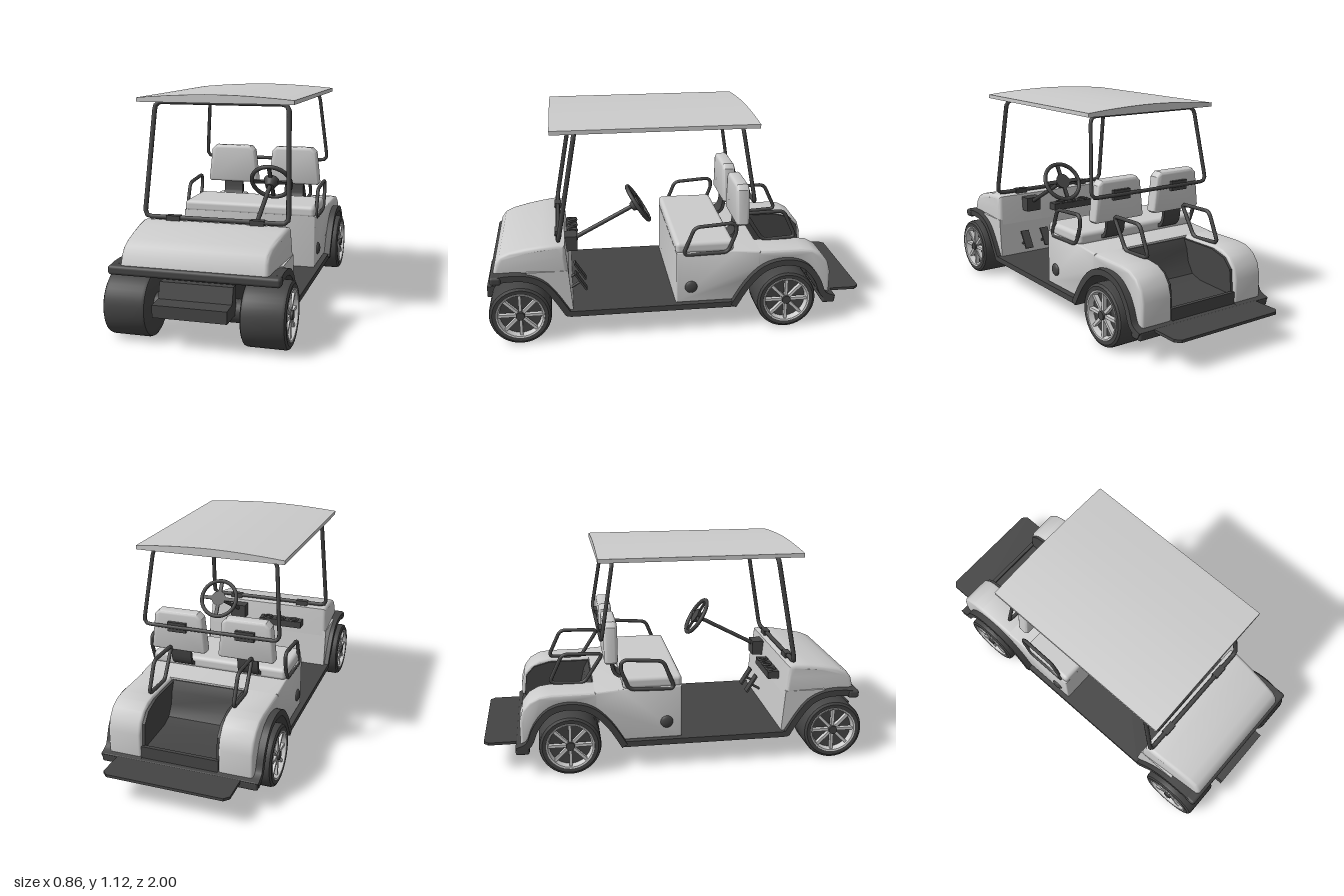
import * as THREE from 'three';
import { toCreasedNormals } from 'three/addons/utils/BufferGeometryUtils.js';
import { RoundedBoxGeometry } from 'three/addons/geometries/RoundedBoxGeometry.js';

const light = new THREE.MeshStandardMaterial({ color: 0xcccccc });
const dark = new THREE.MeshStandardMaterial({ color: 0x444444 });
const V = (x, y, z) => new THREE.Vector3(x, y, z);

function add(parent, name, geo, mat, x = 0, y = 0, z = 0) {
  const m = new THREE.Mesh(geo, mat);
  m.name = name;
  m.position.set(x, y, z);
  parent.add(m);
  return m;
}

const box = (w, h, d) => new THREE.BoxGeometry(w, h, d);
const shapeOf = pts => new THREE.Shape(pts.map(p => new THREE.Vector2(p[0], p[1])));

// Side profile of [z, y] points, extruded across x and centred, with rounded edges
function profile(pts, width, bevel = 0) {
  const depth = width - 2 * bevel;
  const g = new THREE.ExtrudeGeometry(shapeOf(pts), {
    depth, bevelEnabled: bevel > 0, bevelSize: bevel, bevelThickness: bevel,
    bevelOffset: -bevel, bevelSegments: 4,
  });
  g.translate(0, 0, -depth / 2);
  g.rotateY(-Math.PI / 2);
  return toCreasedNormals(g, 0.6);
}

// Smooth curved strip of constant thickness following [z, y] points
function strip(pts, thickness, width) {
  const c = new THREE.SplineCurve(pts.map(p => new THREE.Vector2(p[0], p[1])));
  const outer = [], inner = [];
  for (let i = 0; i <= 28; i++) {
    const p = c.getPoint(i / 28), t = c.getTangent(i / 28);
    const n = [-t.y * thickness / 2, t.x * thickness / 2];
    outer.push([p.x + n[0], p.y + n[1]]);
    inner.unshift([p.x - n[0], p.y - n[1]]);
  }
  return profile([...outer, ...inner], width);
}

// Closed bent tube with rounded corners
function hoop(pts, r, corner = 0.03) {
  const path = new THREE.CurvePath(), n = pts.length;
  const toward = (a, b) => a.clone().add(b.clone().sub(a).setLength(corner));
  for (let i = 0; i < n; i++) {
    const a = pts[i], b = pts[(i + 1) % n], c = pts[(i + 2) % n];
    path.add(new THREE.LineCurve3(toward(a, b), toward(b, a)));
    path.add(new THREE.QuadraticBezierCurve3(toward(b, a), b, toward(b, c)));
  }
  return new THREE.TubeGeometry(path, 100, r, 8, true);
}

function rod(a, b, r, r2 = r) {
  const g = new THREE.CylinderGeometry(r2, r, a.distanceTo(b), 16);
  g.applyQuaternion(new THREE.Quaternion().setFromUnitVectors(V(0, 1, 0), b.clone().sub(a).normalize()));
  const mid = a.clone().add(b).multiplyScalar(0.5);
  return g.translate(mid.x, mid.y, mid.z);
}

// Wheel with its outer face toward +x
function wheel(name) {
  const g = new THREE.Group();
  g.name = name;
  const turn = (pts) => toCreasedNormals(
    new THREE.LatheGeometry(pts.map(p => new THREE.Vector2(p[0], p[1])), 40).rotateZ(-Math.PI / 2), 0.6);
  add(g, 'tyre', turn([[0, -0.105], [0.142, -0.105], [0.154, -0.098], [0.158, -0.085], [0.158, 0.085],
    [0.154, 0.098], [0.142, 0.105], [0.122, 0.103], [0.116, 0.07], [0, 0.06]]), dark);
  add(g, 'rim', turn([[0.108, 0.06], [0.124, 0.1], [0.122, 0.107], [0.114, 0.105], [0.106, 0.075]]),
    new THREE.MeshStandardMaterial({ color: 0xcccccc, side: THREE.DoubleSide }));
  for (let i = 0; i < 8; i++) {
    const s = add(g, 'spoke', box(0.022, 0.1, 0.015).translate(0.085, 0.064, 0), light);
    s.rotation.x = i * Math.PI / 4;
  }
  add(g, 'hub', new THREE.CylinderGeometry(0.022, 0.026, 0.05, 20).rotateZ(-Math.PI / 2), dark, 0.082);
  return g;
}

export function createModel() {
  const cart = new THREE.Group();
  cart.name = 'golfCart';

  // Wheels and axles
  for (const [label, z] of [['front', 0.818], ['rear', -0.563]]) {
    for (const s of [1, -1]) {
      const w = wheel(label + 'Wheel');
      w.position.set(s * 0.325, 0.158, z);
      if (s < 0) w.rotation.y = Math.PI;
      cart.add(w);
    }
    add(cart, label + 'Axle', new THREE.CylinderGeometry(0.055, 0.055, 0.5, 24).rotateZ(Math.PI / 2), dark, 0, 0.155, z);
  }

  // Floor
  add(cart, 'floor', profile([[0.585, 0.125], [0.57, 0.152], [-0.3, 0.152], [-0.29, 0.122], [0.56, 0.122]], 0.8), dark);

  // Front cowl: rounded hood that narrows forward, over a firewall
  const hood = profile([[0.565, 0.34], [0.575, 0.45], [0.58, 0.505], [0.62, 0.512], [0.7, 0.503], [0.78, 0.49],
    [0.86, 0.472], [0.91, 0.45], [0.935, 0.415], [0.95, 0.35]], 0.75, 0.022);
  const p = hood.attributes.position;
  for (let i = 0; i < p.count; i++) {
    const k = 1 - 0.07 * THREE.MathUtils.smoothstep(p.getZ(i), 0.58, 0.95) - 0.15 * Math.max(0, p.getY(i) - 0.36);
    p.setX(i, p.getX(i) * k);
  }
  add(cart, 'hood', toCreasedNormals(hood, 0.6), light);
  add(cart, 'firewall', profile([[0.55, 0.152], [0.568, 0.37], [0.78, 0.37], [0.78, 0.35], [0.71, 0.32],
    [0.64, 0.25], [0.585, 0.152]], 0.75), light);
  add(cart, 'frontFender', strip([[0.955, 0.34], [0.88, 0.352], [0.78, 0.347], [0.7, 0.31], [0.64, 0.24], [0.575, 0.135]], 0.032, 0.8), dark);
  add(cart, 'frontBumper', new RoundedBoxGeometry(0.81, 0.045, 0.06, 3, 0.015), dark, 0, 0.343, 0.932);
  add(cart, 'frontShelf', profile([[0.86, 0.29], [0.9, 0.29], [0.92, 0.215], [1, 0.21], [1, 0.152], [0.86, 0.152]], 0.35), dark);

  // Dashboard, steering and pedals
  add(cart, 'columnMount', box(0.09, 0.08, 0.07), dark, 0.172, 0.45, 0.55);
  add(cart, 'cupTray', box(0.26, 0.04, 0.06), dark, -0.1, 0.41, 0.54);
  for (const x of [-0.18, -0.1, -0.02])
    add(cart, 'cupRing', new THREE.TorusGeometry(0.024, 0.006, 8, 20).rotateX(Math.PI / 2), dark, x, 0.433, 0.535);
  add(cart, 'steeringColumn', rod(V(0.172, 0.45, 0.56), V(0.172, 0.635, 0.21), 0.011), dark);
  const steering = new THREE.Group();
  steering.name = 'steeringWheel';
  steering.position.set(0.172, 0.645, 0.19);
  steering.rotation.x = 0.57 + Math.PI;
  add(steering, 'wheelRing', new THREE.TorusGeometry(0.104, 0.011, 10, 40), dark);
  add(steering, 'hub', new THREE.CylinderGeometry(0.022, 0.042, 0.05, 20).rotateX(-Math.PI / 2), dark, 0, 0, -0.015);
  for (let i = 0; i < 4; i++) {
    const s = add(steering, 'spoke', box(0.1, 0.02, 0.01).translate(0.055, 0, 0), dark);
    s.rotation.z = i * Math.PI / 2;
  }
  cart.add(steering);
  for (const x of [0.1, 0.23]) {
    add(cart, 'pedal', box(0.05, 0.11, 0.01), dark, x, 0.245, 0.505).rotation.x = 0.55;
    add(cart, 'pedalArm', rod(V(x, 0.24, 0.505), V(x, 0.2, 0.57), 0.007), dark);
  }

  // Seat base, cushion and rear body with an open bag well
  add(cart, 'seatBase', profile([[0.016, 0.152], [0.016, 0.435], [-0.29, 0.43], [-0.43, 0.42], [-0.43, 0.335],
    [-0.36, 0.26], [-0.3, 0.152]], 0.75, 0.01), light);
  add(cart, 'seatCushion', new RoundedBoxGeometry(0.74, 0.065, 0.305, 4, 0.022), light, 0, 0.455, -0.135);
  const pod = [[-0.39, 0.42], [-0.65, 0.42], [-0.71, 0.412], [-0.76, 0.385], [-0.795, 0.34], [-0.812, 0.28], [-0.812, 0.16],
    [-0.755, 0.16], [-0.75, 0.22], [-0.71, 0.3], [-0.65, 0.345], [-0.56, 0.362], [-0.47, 0.345], [-0.39, 0.29]];
  for (const s of [1, -1]) {
    add(cart, 'rearPod', profile(pod, 0.175, 0.016), light, s * 0.287);
    add(cart, 'wellSide', profile([[-0.42, 0.405], [-0.65, 0.405], [-0.74, 0.38], [-0.785, 0.33], [-0.8, 0.2], [-0.42, 0.2]], 0.02), dark, s * 0.196);
    add(cart, 'rearFender', strip([[-0.285, 0.13], [-0.36, 0.25], [-0.45, 0.335], [-0.56, 0.362], [-0.66, 0.337],
      [-0.73, 0.26], [-0.77, 0.17], [-0.83, 0.14]], 0.032, 0.21), dark, s * 0.303);
    add(cart, 'sideCap', new THREE.SphereGeometry(0.033, 20, 12).scale(0.45, 1, 1), dark, s * 0.375, 0.24, -0.063);
  }
  add(cart, 'bagWell', profile([[-0.4, 0.416], [-0.435, 0.41], [-0.46, 0.36], [-0.475, 0.29], [-0.51, 0.235],
    [-0.57, 0.215], [-0.81, 0.205], [-0.81, 0.18], [-0.4, 0.18]], 0.39), dark);
  add(cart, 'rearBumper', new RoundedBoxGeometry(0.81, 0.045, 0.07, 3, 0.012), dark, 0, 0.136, -0.803);
  add(cart, 'rearPanel', box(0.4, 0.08, 0.02), dark, 0, 0.18, -0.8);
  const step = new THREE.ExtrudeGeometry(shapeOf([[-0.32, 0.8], [0.32, 0.8], [0.32, 0.975], [0.295, 1],
    [-0.295, 1], [-0.32, 0.975]]), { depth: 0.014, bevelEnabled: false }).rotateX(-Math.PI / 2);
  add(cart, 'rearStep', step, dark, 0, 0.142);

  // Seat backs on curved brackets
  for (const s of [1, -1]) {
    const back = new THREE.ExtrudeGeometry(shapeOf([[-0.15, 0.01], [-0.14, 0], [0.14, 0], [0.15, 0.01], [0.13, 0.19],
      [0.105, 0.215], [-0.105, 0.215], [-0.13, 0.19]]),
    { depth: 0.034, bevelSize: 0.018, bevelThickness: 0.018, bevelOffset: -0.018, bevelSegments: 4 });
    add(cart, 'seatBack', toCreasedNormals(back, 0.6), light, s * 0.183, 0.548, -0.357);
    add(cart, 'seatBracket', strip([[-0.26, 0.45], [-0.3, 0.457], [-0.325, 0.49], [-0.335, 0.57]], 0.018, 0.11), dark, s * 0.183);
    add(cart, 'backMount', box(0.1, 0.05, 0.025), dark, s * 0.183, 0.685, -0.38);
  }

  // Arm rails and bag rails
  for (const s of [1, -1]) {
    const rail = (name, x, pts) => add(cart, name, hoop(pts.map(q => V(s * x, q[1], q[0])), 0.01), dark);
    rail('armRail', 0.37, [[-0.02, 0.42], [-0.08, 0.57], [-0.29, 0.585], [-0.3, 0.54], [-0.255, 0.425]]);
    rail('bagRail', 0.22, [[-0.375, 0.575], [-0.585, 0.58], [-0.655, 0.43], [-0.475, 0.42]]);
  }

  // Roof and its two hoop frames
  add(cart, 'frontFrame', hoop([V(-0.36, 0.524, 0.612), V(0.36, 0.524, 0.612), V(0.335, 1.075, 0.51), V(-0.335, 1.075, 0.51)], 0.012, 0.035), dark);
  add(cart, 'rearFrame', hoop([V(-0.365, 0.686, -0.39), V(0.365, 0.686, -0.39), V(0.325, 1.075, -0.325), V(-0.325, 1.075, -0.325)], 0.01, 0.035), dark);
  for (const x of [-0.21, 0.21]) add(cart, 'frameClip', box(0.07, 0.028, 0.035), dark, x, 0.522, 0.612);
  const roofEdge = [[-0.385, 1.082], [0.385, 1.082]];
  for (let i = 0; i <= 16; i++) {
    const x = 0.385 - 0.77 * i / 16;
    roofEdge.push([x, 1.122 - 0.02 * Math.pow(Math.abs(x) / 0.385, 1.8)]);
  }
  const roof = new THREE.ExtrudeGeometry(shapeOf(roofEdge), { depth: 1.03, bevelEnabled: false });
  add(cart, 'roof', toCreasedNormals(roof, 0.5), light, 0, 0, -0.4);

  return cart;
}
